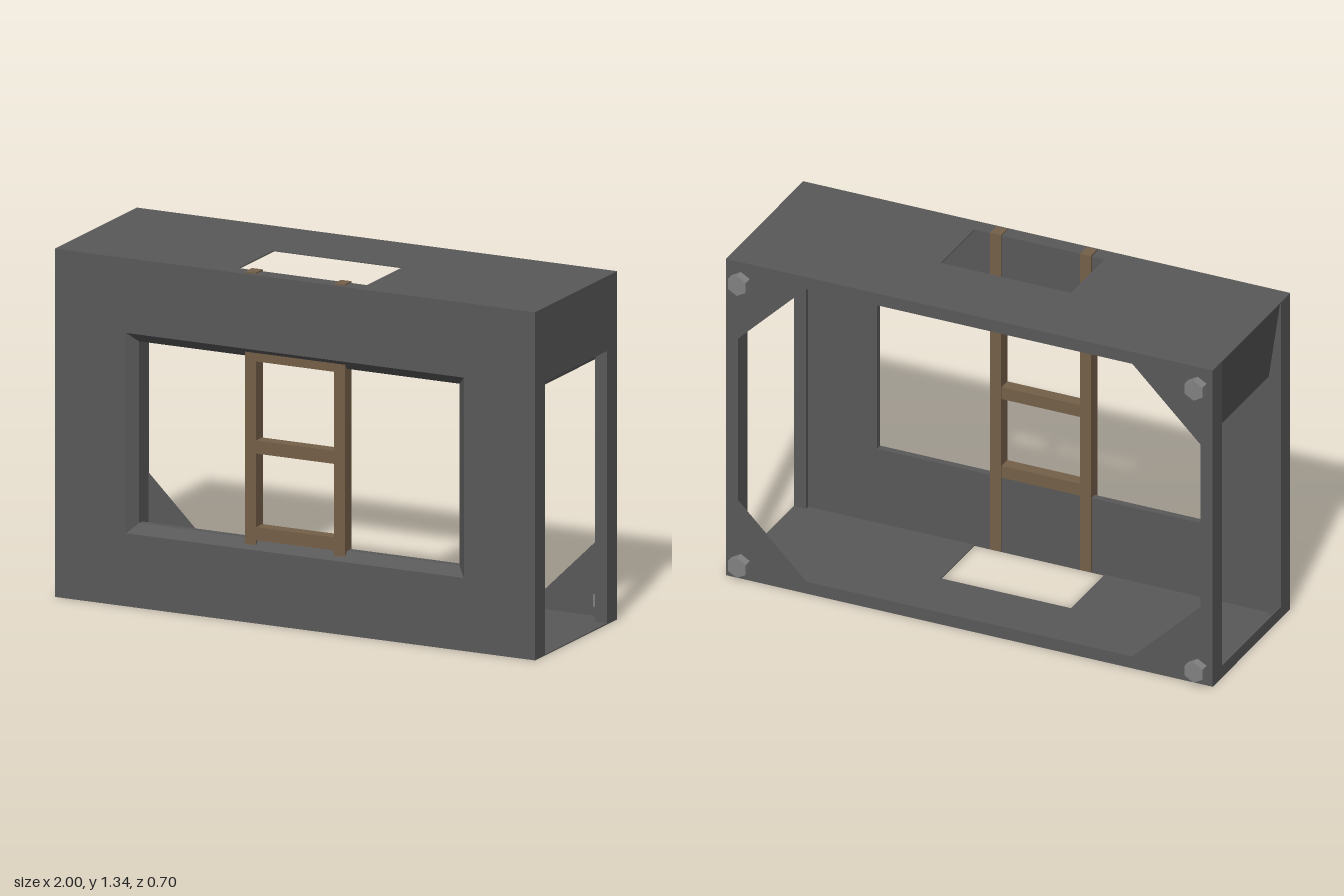
import * as THREE from 'three';

const H = 1.335, ZB = -0.315, ZI = 0.287, SKIN = 0.004;

export function createModel() {
  const model = new THREE.Group();
  const steel = new THREE.MeshStandardMaterial({ color: 0x595959 });
  steel.name = 'darkGrey';
  const wood = new THREE.MeshStandardMaterial({ color: 0x756049 });
  wood.name = 'brown';
  const bolt = new THREE.MeshStandardMaterial({ color: 0x828282 });
  bolt.name = 'lightGrey';

  const add = (name, geometry, material, parent = model) => {
    const mesh = new THREE.Mesh(geometry, material);
    mesh.name = name;
    parent.add(mesh);
  };
  // Box given by its limits on each axis
  const box = (name, x0, x1, y0, y1, z0, z1, material, parent) => add(name,
    new THREE.BoxGeometry(x1 - x0, y1 - y0, z1 - z0)
      .translate((x0 + x1) / 2, (y0 + y1) / 2, (z0 + z1) / 2), material, parent);
  const poly = (pts) => pts.map(([x, y]) => new THREE.Vector2(x, y));
  const rect = (x0, x1, y0, y1) => poly([[x0, y0], [x1, y0], [x1, y1], [x0, y1]]);
  const plate = (outline, hole, depth) => {
    const shape = new THREE.Shape(outline);
    if (hole) shape.holes.push(new THREE.Path(hole));
    return new THREE.ExtrudeGeometry(shape, { depth, bevelEnabled: false });
  };

  // Front wall: chamfered window outside, straight reveal inside
  const front = plate(rect(-1, 1, 0, H), rect(-0.703, 0.703, 0.28, 1.048), 0.035);
  const p = front.attributes.position;
  for (let i = 0; i < p.count; i++) {
    if (Math.abs(p.getX(i)) < 0.8 && p.getZ(i) < 0.01) {
      p.setXY(i, Math.sign(p.getX(i)) * 0.668, p.getY(i) < 0.6 ? 0.315 : 1.012);
    }
  }
  front.computeVertexNormals();
  add('frontWall', front.translate(0, 0, 0.315), steel);
  const inner = plate(rect(-1, 1, 0, H), rect(-0.668, 0.668, 0.315, 1.012), 0.315 - ZI);
  add('windowReveal', inner.translate(0, 0, ZI), steel);

  // Thin back frame with cut corners
  const back = plate(rect(-1, 1, 0, H), poly([
    [-0.67, 0.05], [0.67, 0.05], [0.95, 0.325], [0.95, 1.01],
    [0.67, 1.285], [-0.67, 1.285], [-0.95, 1.01], [-0.95, 0.325],
  ]), SKIN);
  add('backFrame', back.translate(0, 0, ZB), steel);

  // Thin roof and floor, each with a hatch
  for (const [name, y] of [['floor', 0], ['roof', H - SKIN]]) {
    const g = plate(rect(-1, 1, -0.3, -ZB), rect(-0.267, 0.267, -0.318, 0).map(
      (v) => v.setY(Math.max(v.y, -0.2999))), SKIN);
    add(name, g.rotateX(-Math.PI / 2).translate(0, y, 0), steel);
  }

  // Side walls: posts, and a folded brace under each roof edge
  for (const s of [-1, 1]) {
    const x0 = s > 0 ? 0.95 : -1, x1 = x0 + 0.05;
    box('frontPost', x0, x1, 0, H - SKIN, 0.27, ZI, steel);
    box('backPost', x0, x1, 0, H - SKIN, ZB + SKIN, -0.235, steel);

    const fold = poly([
      [s * 0.997, H - 0.005], [s * 0.67, 1.285], [s * 0.67, 1.281],
      [s * 0.992, H - 0.01], [s * 0.946, 1.01], [s * 0.95, 1.01],
    ]);
    add('roofBrace', plate(fold, null, ZI - ZB - SKIN).translate(0, 0, ZB + SKIN), steel);

    // Hexagonal bolts through the back corners
    for (const y of [0.062, 1.252]) {
      const hex = new THREE.CylinderGeometry(0.042, 0.042, 0.041, 6).toNonIndexed();
      hex.computeVertexNormals();
      add('bolt', hex.rotateX(Math.PI / 2).translate(s * 0.938, y, -0.3295), bolt);
    }
  }
  // The left side has an upper panel, the right side a low sill
  box('sidePanel', 1 - SKIN, 1, 1.048, H - SKIN, -0.235, 0.27, steel);
  box('sideSill', -1, -1 + SKIN, 0, 0.05, -0.235, 0.27, steel);

  // Ladder standing in the window
  const ladder = new THREE.Group();
  ladder.name = 'ladder';
  model.add(ladder);
  box('leftRail', 0.155, 0.2, 0.005, 1.34, 0.28, 0.335, wood, ladder);
  box('rightRail', -0.215, -0.17, 0.005, 1.34, 0.28, 0.335, wood, ladder);
  for (const y of [0.315, 0.647, 1.0]) {
    box('rung', -0.17, 0.155, y, y + 0.05, 0.285, 0.335, wood, ladder);
  }
  return model;
}
